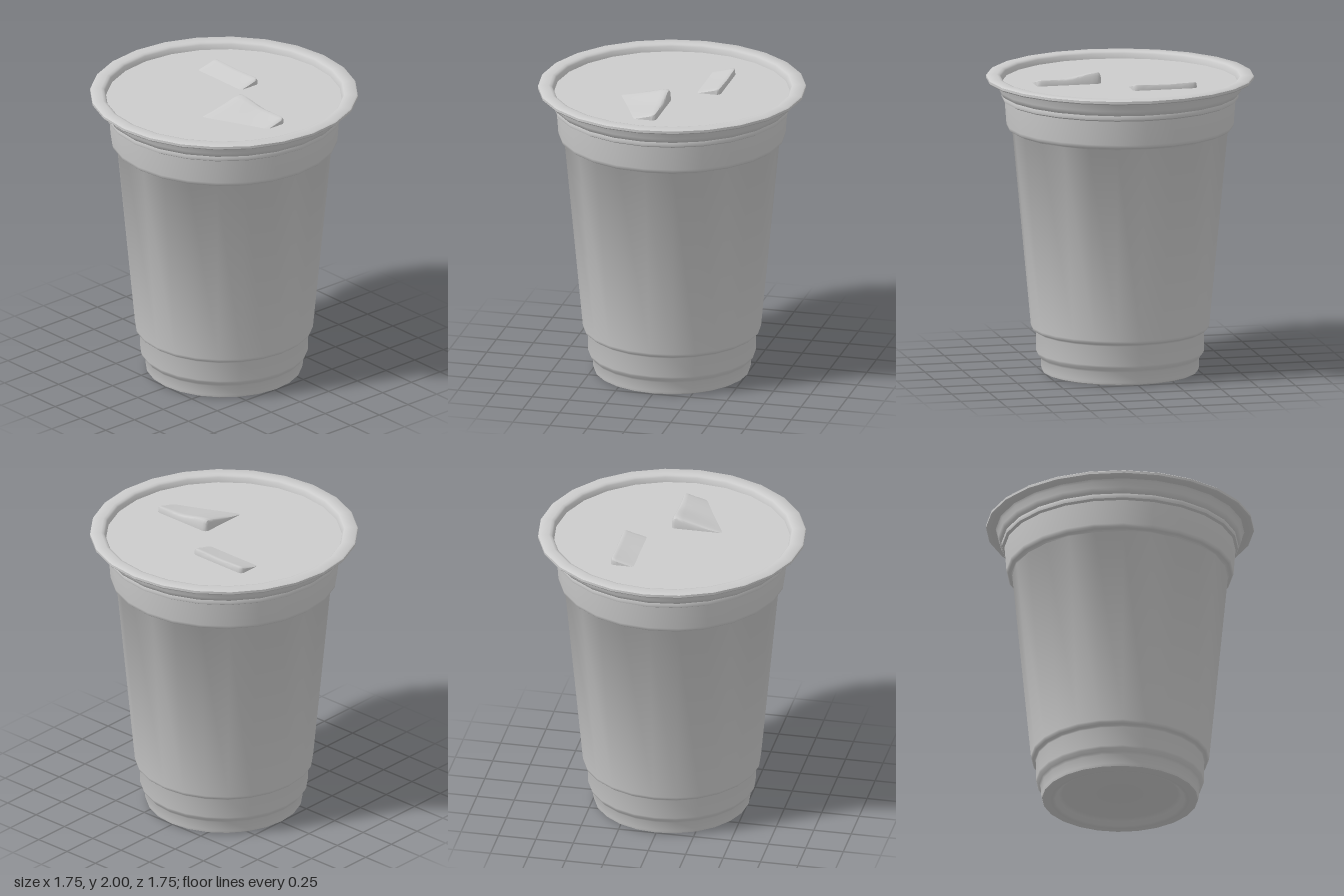
import * as THREE from 'three';
import { toCreasedNormals, mergeVertices } from 'three/addons/utils/BufferGeometryUtils.js';

const SIDES = 24;
const LID_Y = 1.925;
const material = new THREE.MeshStandardMaterial({ color: 0xcccccc });

// Revolve a list of [radius, height] points about the y axis
function lathe(name, points) {
  const profile = points.map(([r, y]) => new THREE.Vector2(r, y));
  const geometry = toCreasedNormals(new THREE.LatheGeometry(profile, SIDES), 0.75);
  const mesh = new THREE.Mesh(geometry, material);
  mesh.name = name;
  return mesh;
}

// Raised flap: upright rounded back and ends, top sloping down to a hinge line at the front
function flap(name, x0, x1, zBack, hinge, height) {
  // [position across, share of full height, corner inset in z]
  const across = [[0, 0, 0.02], [0.005, 0.7, 0.018], [0.025, 0.93, 0.006], [0.07, 1, 0]];
  for (let u = 0.15; u < 0.9; u += 0.1) across.push([u, 1, 0]);
  across.push([0.93, 1, 0], [0.975, 0.93, 0.006], [0.995, 0.7, 0.018], [1, 0, 0.02]);
  // [position from back to front, share of full height]
  const depth = [[0, 0], [0.01, 0.7], [0.04, 0.92], [0.1, 0.97], [0.2, 0.86], [0.45, 0.58], [0.7, 0.31], [1, 0]];

  const positions = [], index = [];
  const n = depth.length;
  across.forEach(([u, end, inset], i) => {
    const zb = zBack + inset, zf = hinge(u) - inset * 0.5;
    depth.forEach(([v, slope], j) => {
      positions.push(x0 + (x1 - x0) * u, LID_Y - 0.002 + height(u) * end * slope, zb + (zf - zb) * v);
      if (i && j) {
        const d = i * n + j, c = d - 1, b = d - n, a = b - 1;
        index.push(a, b, c, b, d, c);
      }
    });
  });
  const geometry = new THREE.BufferGeometry();
  geometry.setAttribute('position', new THREE.Float32BufferAttribute(positions, 3));
  geometry.setIndex(index);
  const mesh = new THREE.Mesh(toCreasedNormals(mergeVertices(geometry), 0.8), material);
  mesh.name = name;
  return mesh;
}

export function createModel() {
  const group = new THREE.Group();
  group.name = 'liddedCup';

  // Cup: recessed underside, stepped foot, tapered wall, stepped collar
  group.add(lathe('cup', [
    [0, 0.045], [0.38, 0.045], [0.405, 0.03], [0.425, 0.006], [0.44, 0], [0.495, 0], [0.51, 0.008], [0.515, 0.025],
    [0.518, 0.09], [0.528, 0.105], [0.545, 0.125], [0.55, 0.14], [0.55, 0.27], [0.555, 0.28], [0.57, 0.286],
    [0.58, 0.295], [0.583, 0.31], [0.705, 1.61], [0.712, 1.618], [0.73, 1.623], [0.74, 1.632], [0.743, 1.65],
    [0.755, 1.81], [0.772, 1.82], [0.776, 1.835], [0.772, 1.85], [0.785, 1.86], [0.797, 1.885], [0.803, 1.925],
    [0.815, 1.942],
  ]));

  // Lid: flat rim around a shallow recessed disc
  group.add(lathe('lid', [
    [0.8, 1.938], [0.868, 1.942], [0.876, 1.95], [0.876, 1.966], [0.868, 1.972], [0.805, 1.972], [0.788, 1.967],
    [0.779, 1.957], [0.772, LID_Y], [0, LID_Y],
  ]));

  // Sipping flap and vent flap on the lid
  group.add(flap('sippingFlap', 0.13, 0.565, -0.035, (u) => 0.32 - 0.2 * u,
    (u) => 0.043 + 0.036 * (1 - THREE.MathUtils.smoothstep(u, 0.05, 0.6))));
  group.add(flap('ventFlap', -0.445, -0.015, -0.32, () => -0.155,
    (u) => 0.036 + 0.008 * Math.abs(2 * u - 1)));

  return group;
}
